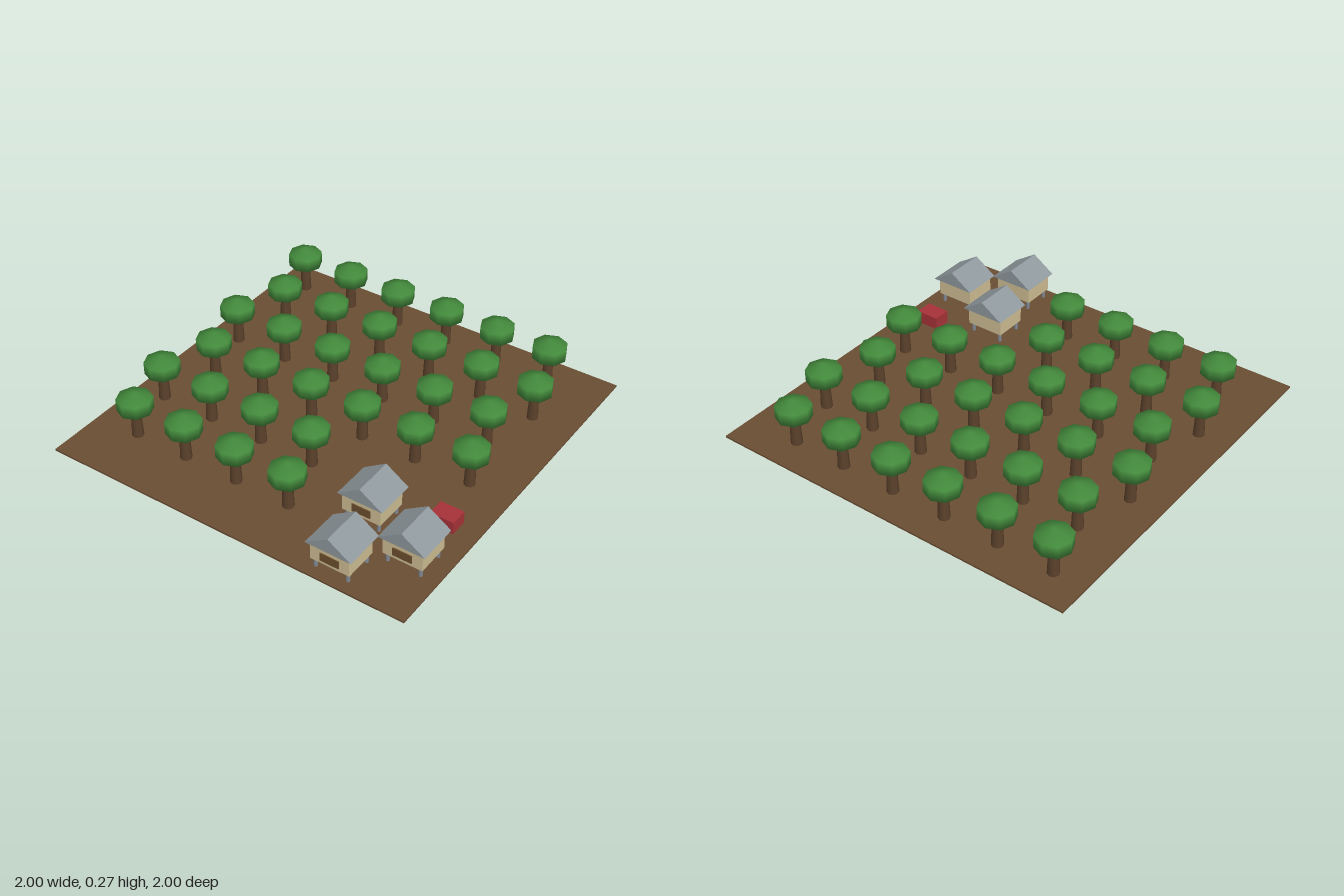
import * as THREE from 'three';

const mat = (name, color, flatShading = false) => {
  const m = new THREE.MeshStandardMaterial({ color, flatShading });
  m.name = name;
  return m;
};

const GROUND_Y = 0.01;

export function createModel() {
  const soil = mat('soil brown', 0x6b4e34);
  const bark = mat('bark brown', 0x5b412b);
  const leaf = mat('leaf green', 0x438a3c);
  const wall = mat('wall cream', 0xcdbd92);
  const slate = mat('roof grey', 0x8f989d);
  const post = mat('post grey', 0x838a94);
  const shutter = mat('window brown', 0x6a4d2c);
  const red = mat('crate red', 0xa63238);

  const model = new THREE.Group();
  model.name = 'plantation';

  const add = (parent, name, geometry, material, x, y, z) => {
    const mesh = new THREE.Mesh(geometry, material);
    mesh.name = name;
    mesh.position.set(x, y, z);
    parent.add(mesh);
    return mesh;
  };

  // Ground slab
  add(model, 'ground', new THREE.BoxGeometry(2, GROUND_Y, 2), soil, 0, GROUND_Y / 2, 0);

  // Trees: staggered rows, the last two cut short beside the houses
  const trunkGeo = new THREE.CylinderGeometry(0.024, 0.03, 0.15, 8);
  const crownGeo = new THREE.SphereGeometry(0.105, 8, 3).scale(1, 0.635, 1);
  const pitch = 0.3035;
  for (let row = 0; row < 6; row++) {
    const count = row < 4 ? 6 : 4;
    for (let col = 0; col < count; col++) {
      const tree = new THREE.Group();
      tree.name = 'tree';
      tree.position.set(-0.83 + (row % 2) * 0.085 + col * pitch, GROUND_Y, -0.83 + row * pitch);
      add(tree, 'trunk', trunkGeo, bark, 0, 0.075, 0);
      add(tree, 'crown', crownGeo, leaf, 0, 0.193, 0);
      model.add(tree);
    }
  }

  // Stilt houses with gabled roofs, ridge running front to back
  const gable = new THREE.Shape([
    new THREE.Vector2(-0.122, 0),
    new THREE.Vector2(0.122, 0),
    new THREE.Vector2(0, 0.08),
  ]);
  const roofGeo = new THREE.ExtrudeGeometry(gable, { depth: 0.217, bevelEnabled: false });
  roofGeo.translate(0, 0, -0.1085);
  const bodyGeo = new THREE.BoxGeometry(0.208, 0.096, 0.18);
  const windowGeo = new THREE.BoxGeometry(0.1, 0.043, 0.008);
  const postGeo = new THREE.CylinderGeometry(0.01, 0.01, 0.05, 6);
  for (const [x, z] of [[0.516, 0.515], [0.825, 0.651], [0.583, 0.858]]) {
    const house = new THREE.Group();
    house.name = 'house';
    house.position.set(x, 0, z);
    add(house, 'houseBody', bodyGeo, wall, 0, 0.107, 0.004);
    add(house, 'roof', roofGeo, slate, 0, 0.155, 0);
    add(house, 'frontWindow', windowGeo, shutter, 0, 0.099, 0.095);
    for (const sx of [-1, 1]) {
      for (const sz of [-1, 1]) {
        add(house, 'stilt', postGeo, post, sx * 0.086, 0.035, sz * 0.072 + 0.004);
      }
    }
    model.add(house);
  }

  // Red crate behind the houses
  add(model, 'crate', new THREE.BoxGeometry(0.126, 0.068, 0.094), red, 0.828, GROUND_Y + 0.034, 0.376);

  return model;
}
